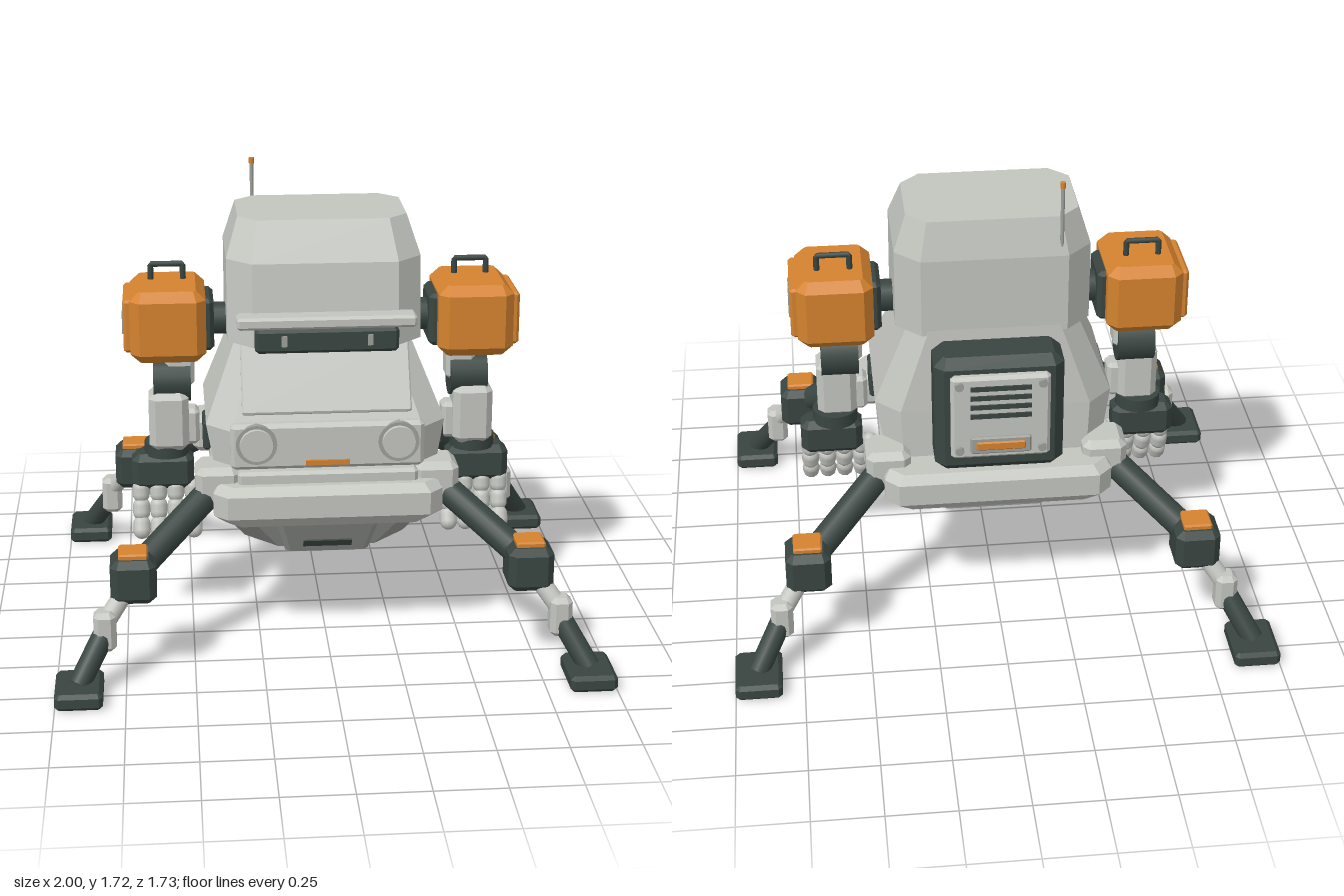
import * as THREE from 'three';

const mat = (name, color) => {
  const m = new THREE.MeshStandardMaterial({ color });
  m.name = name;
  return m;
};

export function createModel() {
  const model = new THREE.Group();
  model.name = 'walkerRobot';
  const light = mat('lightGrey', 0xc3c5bf);
  const mid = mat('midGrey', 0x9da09b);
  const dark = mat('darkGreenGrey', 0x394541);
  const orange = mat('orange', 0xd5832f);

  const add = (name, geo, material, x = 0, y = 0, z = 0, parent = model) => {
    const m = new THREE.Mesh(geo, material);
    m.name = name;
    m.position.set(x, y, z);
    parent.add(m);
    return m;
  };

  // Flat-faced loft through octagonal sections [y, halfWidth, zFront, zBack, cornerCut]
  const loft = (sections) => {
    const rings = sections.map(([y, x, f, b, c]) => [
      [x - c, y, f], [x, y, f - c], [x, y, b + c], [x - c, y, b],
      [c - x, y, b], [-x, y, b + c], [-x, y, f - c], [c - x, y, f]]);
    const p = [];
    const tri = (a, b, c) => p.push(...a, ...b, ...c);
    for (let k = 0; k + 1 < rings.length; k++) {
      const lo = rings[k], hi = rings[k + 1];
      for (let i = 0; i < 8; i++) {
        const j = (i + 1) % 8;
        tri(lo[i], lo[j], hi[j]);
        tri(lo[i], hi[j], hi[i]);
      }
    }
    const bottom = rings[0], top = rings[rings.length - 1];
    for (let i = 1; i < 7; i++) {
      tri(top[0], top[i], top[i + 1]);
      tri(bottom[0], bottom[i + 1], bottom[i]);
    }
    const g = new THREE.BufferGeometry();
    g.setAttribute('position', new THREE.Float32BufferAttribute(p, 3));
    g.computeVertexNormals();
    return g;
  };

  // Box with every edge bevelled
  const bevelBox = (w, h, d, c = 0.02) => {
    const x = w / 2, y = h / 2, z = d / 2, e = c * 0.3;
    return loft([[-y, x - c, z - c, c - z, e], [c - y, x, z, -z, c],
      [y - c, x, z, -z, c], [y, x - c, z - c, c - z, e]]);
  };

  // Cylinder between two points
  const rod = (name, a, b, r, material, parent = model) => {
    const A = new THREE.Vector3(...a), B = new THREE.Vector3(...b);
    const dir = B.clone().sub(A);
    const m = add(name, new THREE.CylinderGeometry(r, r, dir.length(), 16), material, 0, 0, 0, parent);
    m.position.copy(A).add(B).multiplyScalar(0.5);
    m.quaternion.setFromUnitVectors(new THREE.Vector3(0, 1, 0), dir.normalize());
    return m;
  };

  // Hull: head, torso, belt and belly
  add('head', loft([
    [1.14, 0.355, 0.295, -0.27, 0.09],
    [1.44, 0.355, 0.255, -0.27, 0.09],
    [1.58, 0.31, 0.165, -0.235, 0.07]]), light);
  add('torso', loft([
    [0.62, 0.4, 0.34, -0.31, 0.06],
    [0.84, 0.44, 0.35, -0.3, 0.09],
    [1.16, 0.31, 0.17, -0.27, 0.07]]), light);
  add('belt', loft([
    [0.49, 0.37, 0.41, -0.42, 0.05],
    [0.535, 0.42, 0.45, -0.46, 0.05],
    [0.62, 0.42, 0.45, -0.46, 0.05],
    [0.65, 0.4, 0.42, -0.43, 0.05]]), light);
  add('belly', loft([
    [0.365, 0.3, 0.3, -0.25, 0.12],
    [0.5, 0.4, 0.37, -0.28, 0.12]]), mid);
  add('chin', loft([
    [0.355, 0.155, 0.33, 0.1, 0.02],
    [0.5, 0.19, 0.41, 0.1, 0.02]]), mid);
  add('chinSlot', new THREE.BoxGeometry(0.18, 0.03, 0.015), dark, 0, 0.4, 0.354).rotation.x = 0.5;

  // Face: hood, visor, sloped panel and lamp panel
  add('hood', bevelBox(0.65, 0.045, 0.09, 0.01), light, 0, 1.243, 0.307);
  add('visor', bevelBox(0.52, 0.09, 0.07, 0.012), dark, 0, 1.175, 0.312);
  add('slopedPanel', bevelBox(0.62, 0.29, 0.022, 0.006), light, 0, 1.025, 0.267).rotation.x = -0.53;
  add('lampPanel', bevelBox(0.71, 0.175, 0.06, 0.015), light, 0, 0.782, 0.338);
  add('bumperStep', bevelBox(0.66, 0.06, 0.1, 0.012), light, 0, 0.665, 0.345);
  add('frontStrip', new THREE.BoxGeometry(0.16, 0.018, 0.012), orange, 0, 0.722, 0.372);
  for (const s of [-1, 1]) {
    add('visorLamp', new THREE.BoxGeometry(0.02, 0.04, 0.008), mid, s * 0.155, 1.178, 0.348);
    const ring = add('lampRing', new THREE.CylinderGeometry(0.075, 0.075, 0.03, 28), mid, s * 0.26, 0.795, 0.362);
    const lens = add('lampLens', new THREE.CylinderGeometry(0.06, 0.063, 0.012, 28), light, s * 0.26, 0.795, 0.381);
    ring.rotation.x = lens.rotation.x = Math.PI / 2;
    add('sideVent', bevelBox(0.03, 0.11, 0.15, 0.008), dark, s * 0.435, 0.765, 0.105);
  }

  // Antenna
  rod('antenna', [-0.24, 1.44, -0.255], [-0.24, 1.7, -0.255], 0.007, mid);
  rod('antennaTip', [-0.24, 1.7, -0.255], [-0.24, 1.722, -0.255], 0.01, orange);

  // Backpack with a vented rear plate
  add('backpack', bevelBox(0.47, 0.47, 0.19, 0.035), dark, 0, 0.895, -0.355);
  add('backpackPlate', bevelBox(0.36, 0.34, 0.04, 0.012), light, 0, 0.91, -0.463);
  for (let i = 0; i < 4; i++)
    add('backSlot', new THREE.BoxGeometry(0.22, 0.018, 0.01), dark, 0, 1.035 - i * 0.038, -0.484);
  add('backLatchFrame', bevelBox(0.22, 0.07, 0.02, 0.006), mid, 0, 0.8, -0.485);
  add('backLatch', bevelBox(0.18, 0.035, 0.02, 0.005), orange, 0, 0.8, -0.49);
  for (const x of [-0.15, 0.15]) for (const y of [0.78, 1.05])
    rod('backBolt', [x, y, -0.47], [x, y, -0.495], 0.016, mid);

  // Arms
  for (const s of [-1, 1]) {
    const arm = new THREE.Group();
    arm.name = s > 0 ? 'leftArm' : 'rightArm';
    model.add(arm);
    const put = (name, geo, m, x, y, z) => add(name, geo, m, s * x, y, z, arm);
    put('shoulderMount', bevelBox(0.1, 0.2, 0.2, 0.015), dark, 0.45, 1.17, 0);
    rod('shoulderAxle', [s * 0.3, 1.17, 0], [s * 0.43, 1.17, 0], 0.06, dark, arm);
    put('shoulderBox', bevelBox(0.28, 0.27, 0.35, 0.035), orange, 0.57, 1.178, 0);
    put('shoulderPlate', bevelBox(0.04, 0.2, 0.265, 0.01), orange, 0.714, 1.18, 0);
    for (const z of [-0.065, 0, 0.065])
      put('shoulderSlot', new THREE.BoxGeometry(0.008, 0.085, 0.016), mid, 0.735, 1.18, z);
    const path = new THREE.CurvePath();
    const pts = [[0.51, 1.3], [0.51, 1.37], [0.63, 1.37], [0.63, 1.3]]
      .map(([x, y]) => new THREE.Vector3(s * x, y, -0.045));
    for (let i = 0; i < 3; i++) path.add(new THREE.LineCurve3(pts[i], pts[i + 1]));
    put('shoulderHandle', new THREE.TubeGeometry(path, 36, 0.011, 8), dark, 0, 0, 0);
    put('upperArm', bevelBox(0.11, 0.16, 0.11, 0.015), light, 0.53, 1.0, 0);
    rod('elbow', [s * 0.49, 0.935, 0], [s * 0.63, 0.935, 0], 0.086, dark, arm);
    put('forearm', bevelBox(0.15, 0.23, 0.15, 0.025), light, 0.575, 0.79, 0.027);
    put('forearmSide', bevelBox(0.06, 0.14, 0.09, 0.015), light, 0.49, 0.76, 0.02);
    put('cuff', new THREE.CylinderGeometry(0.085, 0.085, 0.05, 20), dark, 0.585, 0.668, 0.005);
    put('palm', bevelBox(0.235, 0.14, 0.12, 0.025), dark, 0.602, 0.58, 0.01);
    // Four jointed fingers and a thumb
    const joints = [[0.535, 0.035], [0.465, 0.045], [0.4, 0.065], [0.335, 0.1]];
    for (let f = 0; f < 4; f++) for (let i = 0; i < 3; i++) {
      const [y0, z0] = joints[i], [y1, z1] = joints[i + 1];
      const seg = put('finger', new THREE.CapsuleGeometry(0.033, 0.025, 4, 10), light,
        0.49 + f * 0.066, (y0 + y1) / 2, (z0 + z1) / 2);
      seg.rotation.x = -Math.atan2(z1 - z0, y0 - y1);
    }
    for (let i = 0; i < 2; i++)
      put('thumb', new THREE.CapsuleGeometry(0.028, 0.035, 4, 10), light, 0.455, 0.52 - i * 0.07, 0.0 + i * 0.025);
  }

  // Four legs
  for (const sx of [-1, 1]) for (const sz of [-1, 1]) {
    const leg = new THREE.Group();
    leg.name = (sz > 0 ? 'front' : 'back') + (sx > 0 ? 'Left' : 'Right') + 'Leg';
    model.add(leg);
    const put = (name, geo, m, x, y, z) => add(name, geo, m, sx * x, y, sz * z, leg);
    const bar = (name, [x0, y0, z0], [x1, y1, z1], r, m) =>
      rod(name, [sx * x0, y0, sz * z0], [sx * x1, y1, sz * z1], r, m, leg);
    put('hip', bevelBox(0.165, 0.15, 0.17, 0.025), light, 0.402, 0.63, 0.293);
    bar('thigh', [0.4, 0.62, 0.29], [0.7, 0.4, 0.55], 0.052, dark);
    put('knee', bevelBox(0.165, 0.165, 0.172, 0.025), dark, 0.715, 0.383, 0.57);
    put('kneeCap', bevelBox(0.105, 0.025, 0.105, 0.006), orange, 0.715, 0.472, 0.57);
    bar('kneeLink', [0.73, 0.36, 0.59], [0.82, 0.24, 0.66], 0.035, light);
    put('shin', bevelBox(0.08, 0.15, 0.085, 0.018), light, 0.82, 0.218, 0.662);
    bar('ankle', [0.82, 0.21, 0.66], [0.915, 0.05, 0.755], 0.04, dark);
    put('foot', bevelBox(0.17, 0.062, 0.22, 0.014), dark, 0.915, 0.031, 0.757);
  }
  return model;
}
